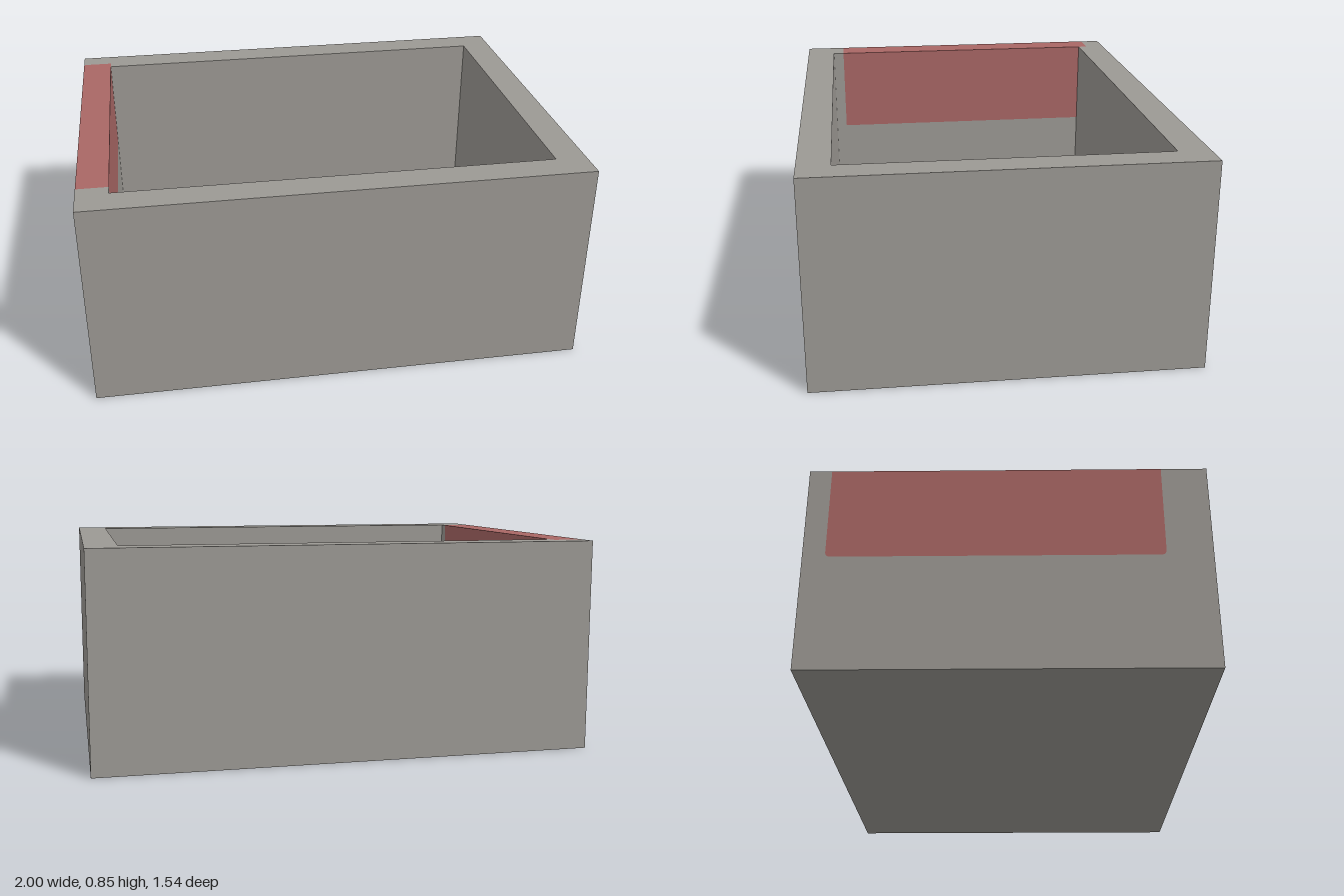
import * as THREE from 'three';

const X = 1, Z = 0.768, H = 0.854;            // outer half width, half depth, height
const IX = 0.874, IZ = 0.64, FLOOR = 0.128;   // inner half width, half depth, floor level
const Z0 = -0.682, Z1 = 0.592, LOW = 0.468;   // extent of the red patch on the wall
const R = 0.02;

export function createModel() {
  const group = new THREE.Group();
  group.name = 'openBox';
  const grey = new THREE.MeshStandardMaterial({ color: 0x9c9994 });
  grey.name = 'stone grey';
  const red = new THREE.MeshStandardMaterial({ color: 0xa96765 });
  red.name = 'faded red';

  const V = (x, y) => new THREE.Vector2(x, y);
  const poly = (list) => list.map(([x, y]) => V(x, y));
  const rect = (x0, y0, x1, y1) => poly([[x0, y0], [x1, y0], [x1, y1], [x0, y1]]);

  // One flat face, drawn in its own plane, then turned and moved into place
  function face(name, points, material, position, rx = 0, ry = 0) {
    const mesh = new THREE.Mesh(new THREE.ShapeGeometry(new THREE.Shape(points)), material);
    mesh.name = name;
    mesh.position.set(...position);
    mesh.rotation.set(rx, ry, 0);
    group.add(mesh);
  }
  const Q = Math.PI / 2;

  // Outer walls
  face('outerFront', rect(-X, 0, X, H), grey, [0, 0, Z]);
  face('outerBack', rect(-X, 0, X, H), grey, [0, 0, -Z], 0, Math.PI);
  face('outerLeft', rect(-Z, 0, Z, H), grey, [X, 0, 0], 0, Q);

  // Outer right wall with the red patch let into its upper edge
  const edge = new THREE.Path();
  edge.moveTo(Z0, H);
  edge.lineTo(Z0, LOW + R);
  edge.quadraticCurveTo(Z0, LOW, Z0 + R, LOW);
  edge.lineTo(Z1 - R, LOW);
  edge.quadraticCurveTo(Z1, LOW, Z1, LOW + R);
  edge.lineTo(Z1, H);
  const patch = edge.getPoints(5);
  face('outerRight', [...poly([[-Z, H], [-Z, 0], [Z, 0], [Z, H]]), ...patch.slice().reverse()],
    grey, [-X, 0, 0], 0, -Q);
  face('outerPatch', patch, red, [-X, 0, 0], 0, -Q);

  // Inner walls
  face('innerFront', rect(-IX, FLOOR, IX, H), grey, [0, 0, IZ], 0, Math.PI);
  face('innerBack', rect(-IX, FLOOR, IX, H), grey, [0, 0, -IZ]);
  face('innerLeft', rect(-IZ, FLOOR, IZ, H), grey, [IX, 0, 0], 0, -Q);

  // Inner right wall: here the plane's x axis runs along -z
  face('innerRight', poly([[-IZ, FLOOR], [IZ, FLOOR], [IZ, LOW], [-Z1, LOW], [-Z1, H], [-IZ, H]]),
    grey, [-IX, 0, 0], 0, Q);
  face('innerPatch', rect(-Z1, LOW, IZ, H), red, [-IX, 0, 0], 0, Q);

  // Rim: a C shape closed by the red strip (the plane's y axis runs along -z)
  face('rim', poly([[-X, -Z1], [-X, -Z], [X, -Z], [X, Z], [-X, Z], [-X, -Z0],
    [-IX, -Z0], [-IX, IZ], [IX, IZ], [IX, -IZ], [-IX, -IZ], [-IX, -Z1]]), grey, [0, H, 0], -Q);
  face('rimPatch', rect(-X, -Z1, -IX, -Z0), red, [0, H, 0], -Q);

  // Floor and underside
  face('floor', rect(-IX, -IZ, IX, IZ), grey, [0, FLOOR, 0], -Q);
  face('underside', rect(-X, -Z, X, Z), grey, [0, 0, 0], Q);

  return group;
}
